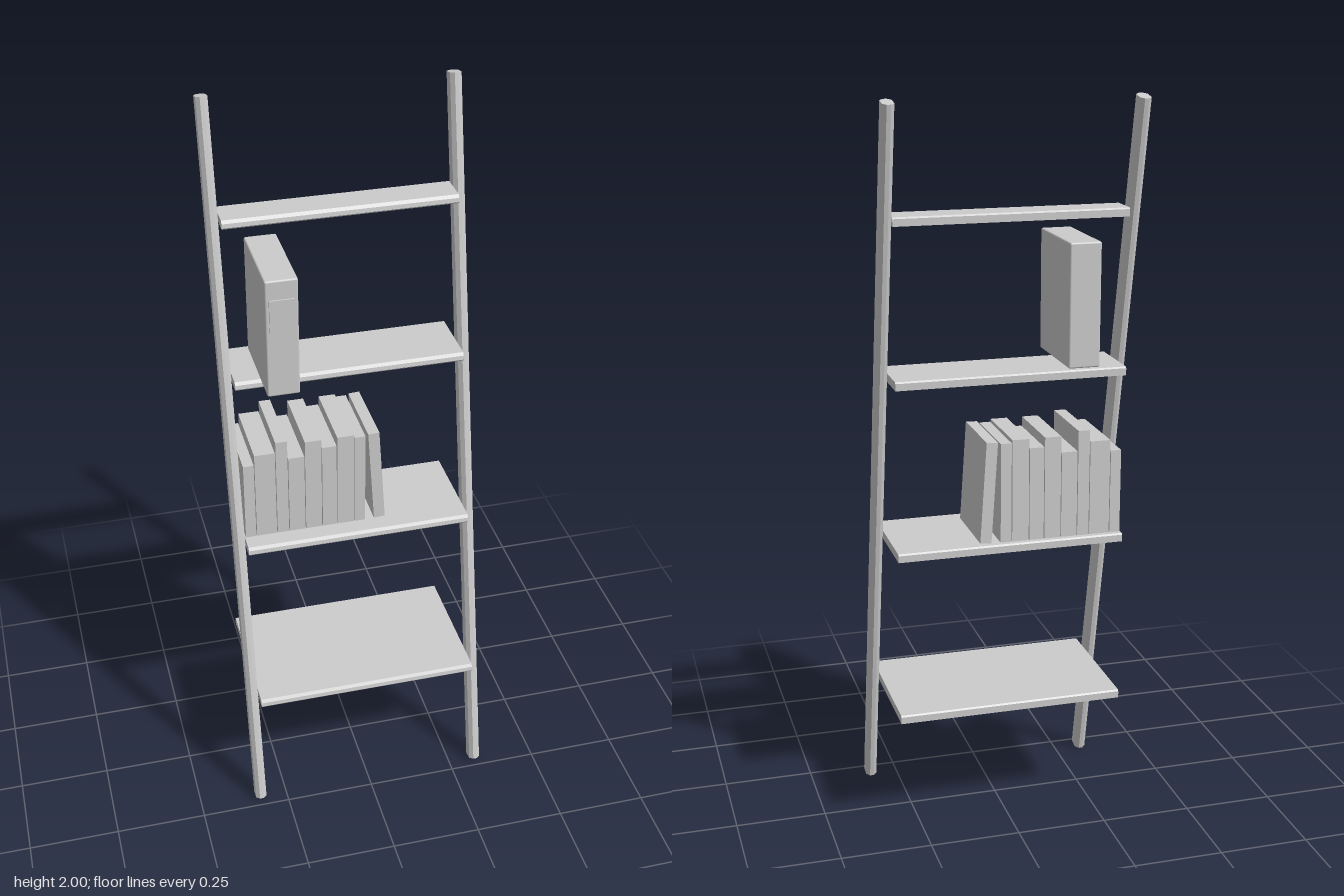
import * as THREE from 'three';
import { RoundedBoxGeometry } from 'three/addons/geometries/RoundedBoxGeometry.js';

export function createModel() {
  const group = new THREE.Group();
  const grey = new THREE.MeshStandardMaterial({ color: 0xcccccc });
  grey.name = 'plainGrey';

  const add = (name, geometry, x = 0, y = 0, z = 0) => {
    const mesh = new THREE.Mesh(geometry, grey);
    mesh.name = name;
    mesh.position.set(x, y, z);
    group.add(mesh);
    return mesh;
  };

  // Extrudes a closed outline and centres it along its length
  const extrude = (points, depth) => {
    const shape = new THREE.Shape(points.map(([a, b]) => new THREE.Vector2(a, b)));
    return new THREE.ExtrudeGeometry(shape, { depth, bevelEnabled: false }).translate(0, 0, -depth / 2);
  };

  // Leaning side rails with chamfered front and back edges
  const lean = 0.209, w = 0.0155, d = 0.0245, c = 0.01;
  const section = [
    [-w, -d + c], [-w + c, -d], [w - c, -d], [w, -d + c],
    [w, d - c], [w - c, d], [-w + c, d], [-w, d - c],
  ];
  const railGeometry = extrude(section, 2.034).rotateX(-Math.PI / 2);
  for (const side of [-1, 1]) {
    const rail = add(side > 0 ? 'leftRail' : 'rightRail', railGeometry, side * 0.3265, 1, 0);
    rail.rotation.x = -lean;
  }

  // Shelves share a back line and get shallower towards the top
  const back = -0.175, thick = 0.023;
  [[0.338, 0.208], [0.804, 0.11], [1.27, 0.011], [1.689, -0.08]].forEach(([y, front], i) => {
    const profile = [
      [back, 0], [front - 0.003, 0], [front, 0.004], [front - 0.002, thick - 0.008],
      [front - 0.008, thick], [back + 0.004, thick], [back, thick - 0.004],
    ];
    add('shelf' + (i + 1), extrude(profile, 0.622).rotateY(-Math.PI / 2), 0, y, 0);
  });

  // Upright books: left edge, right edge, top
  const base = 0.828, bookZ = -0.052, bookDepth = 0.215;
  [
    [-0.308, -0.279, 1.06], [-0.277, -0.221, 1.09], [-0.219, -0.187, 1.122], [-0.185, -0.141, 1.066],
    [-0.139, -0.094, 1.111], [-0.092, -0.052, 1.085], [-0.05, -0.004, 1.111], [-0.002, 0.028, 1.103],
  ].forEach(([x0, x1, top], i) => {
    add('book' + (i + 1), new THREE.BoxGeometry(x1 - x0, top - base, bookDepth),
      (x0 + x1) / 2, (base + top) / 2, bookZ);
  });

  // Last book leans against the row
  const leaning = add('leaningBook', new THREE.BoxGeometry(0.031, 0.279, bookDepth), 0.06, 0.969, bookZ);
  leaning.rotation.z = 0.065;

  // File box with a thin label plate on its front
  add('fileBox', new RoundedBoxGeometry(0.086, 0.332, 0.257, 2, 0.005), -0.2, 1.459, -0.031);
  add('boxLabel', new THREE.BoxGeometry(0.066, 0.09, 0.006), -0.2, 1.527, 0.099);

  return group;
}
